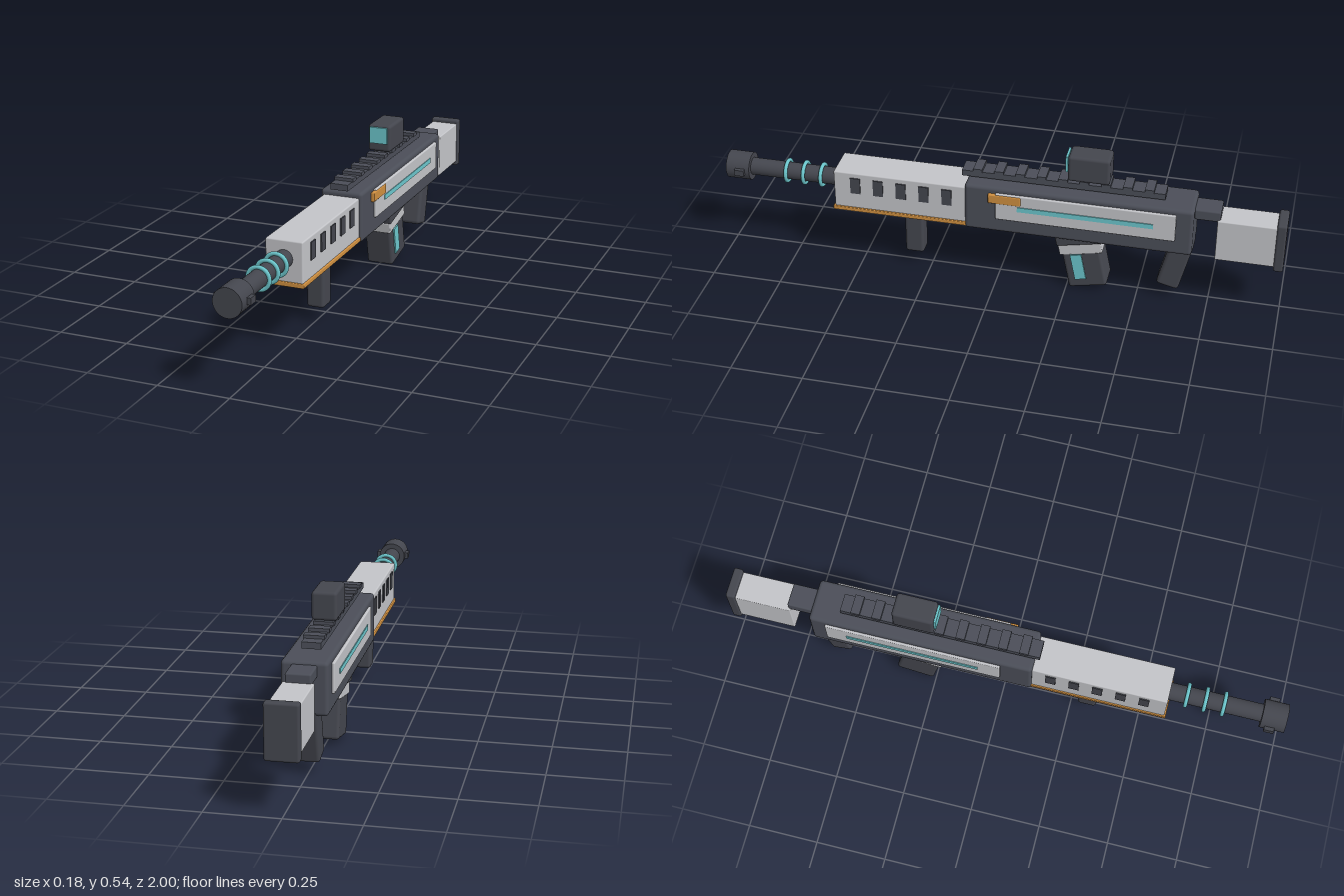
import * as THREE from 'three';
import { RoundedBoxGeometry } from 'three/addons/geometries/RoundedBoxGeometry.js';

const material = (name, color) => {
  const m = new THREE.MeshStandardMaterial({ color });
  m.name = name;
  return m;
};

export function createModel() {
  const charcoal = material('charcoal', 0x4b4e58);
  const gunmetal = material('gunmetal', 0x44464e);
  const lightGrey = material('lightGrey', 0xc3c4c8);
  const orange = material('orange', 0xcf8f40);
  const cyan = material('cyan', 0x6cc6cc);

  const model = new THREE.Group();
  model.name = 'toyBlaster';

  const add = (name, geometry, mat, x, y, z, tilt = 0, parent = model) => {
    const mesh = new THREE.Mesh(geometry, mat);
    mesh.name = name;
    mesh.position.set(x, y, z);
    mesh.rotation.x = tilt;
    parent.add(mesh);
    return mesh;
  };
  // Box given by its x, y and z ranges; r rounds the edges
  const box = (name, mat, [x0, x1], [y0, y1], [z0, z1], r = 0, parent = model) => {
    const size = [x1 - x0, y1 - y0, z1 - z0];
    const g = r ? new RoundedBoxGeometry(...size, 2, r) : new THREE.BoxGeometry(...size);
    return add(name, g, mat, (x0 + x1) / 2, (y0 + y1) / 2, (z0 + z1) / 2, 0, parent);
  };
  const half = (w) => [-w, w];

  // Barrel, glowing rings and muzzle
  const axisY = 0.318;
  const tube = (name, mat, r, z0, z1) =>
    add(name, new THREE.CylinderGeometry(r, r, z1 - z0, 32), mat, 0, axisY, (z0 + z1) / 2, Math.PI / 2);
  tube('barrel', gunmetal, 0.031, 0.57, 0.93);
  tube('muzzle', gunmetal, 0.05, 0.914, 1);
  box('muzzlePorts', gunmetal, half(0.062), [0.307, 0.33], [0.93, 0.965]);
  for (const z of [0.65, 0.715, 0.78]) {
    add('barrelRing', new THREE.TorusGeometry(0.038, 0.007, 10, 32), cyan, 0, axisY, z);
  }

  // Handguard with vents, lower strip and foregrip
  box('handguard', lightGrey, half(0.066), [0.236, 0.381], [0.1, 0.589], 0.005);
  box('handguardStrip', orange, half(0.071), [0.224, 0.24], [0.1, 0.595], 0.003);
  for (let i = 0; i < 5; i++) {
    const z = 0.178 + i * 0.083;
    box('vents', gunmetal, half(0.07), [0.3, 0.362], [z - 0.018, z + 0.018]);
  }
  box('foregrip', gunmetal, half(0.032), [0.055, 0.23], [0.276, 0.344], 0.011);

  // Receiver with side panels and stripes
  box('receiver', charcoal, half(0.077), [0.22, 0.4], [-0.687, 0.112], 0.013);
  for (const s of [-1, 1]) {
    const side = (a, b) => (s > 0 ? [a, b] : [-b, -a]);
    box('sidePanel', lightGrey, side(0.07, 0.086), [0.278, 0.382], [-0.628, 0], 0.004);
    box('sideStripe', cyan, side(0.082, 0.089), [0.321, 0.339], [-0.552, -0.078]);
  }
  box('chargingHandle', orange, [0.074, 0.089], [0.343, 0.378], [-0.09, 0.026], 0.004);
  box('triggerGuard', gunmetal, half(0.03), [0.2, 0.212], [-0.585, -0.46]);

  // Top rail and its teeth
  box('rail', charcoal, half(0.032), [0.408, 0.43], [-0.582, 0.13]);
  for (let i = 0; i < 9; i++) {
    const z = 0.073 - i * 0.075;
    box('railTooth', charcoal, half(0.035), [0.428, 0.441], [z - 0.016, z + 0.016]);
  }

  // Sight
  box('sight', gunmetal, half(0.043), [0.442, 0.54], [-0.39, -0.244], 0.011);
  box('sightLens', cyan, half(0.033), [0.474, 0.533], [-0.243, -0.235]);

  // Magazine, tilted with its top forward
  const magazine = new THREE.Group();
  magazine.name = 'magazine';
  magazine.position.set(0, 0.128, -0.306);
  magazine.rotation.x = 0.2;
  model.add(magazine);
  box('magazineBody', gunmetal, half(0.05), [-0.114, 0.1], [-0.069, 0.069], 0.011, magazine);
  box('magazineCollar', lightGrey, half(0.053), [0.026, 0.068], [-0.077, 0.077], 0.004, magazine);
  box('magazineWell', gunmetal, half(0.06), [0.068, 0.115], [-0.083, 0.08], 0.006, magazine);
  box('magazineWindow', cyan, [0.047, 0.055], [-0.078, 0.024], [0, 0.04], 0, magazine);

  // Rear grip, slanting forward and down
  add('rearGrip', new RoundedBoxGeometry(0.08, 0.2, 0.08, 2, 0.012), gunmetal, 0, 0.15, -0.629, -0.24);

  // Stock
  box('stockLink', charcoal, half(0.042), [0.35, 0.39], [-0.775, -0.68], 0.006);
  box('stock', lightGrey, half(0.051), [0.202, 0.36], [-0.975, -0.765], 0.004);
  box('buttPlate', gunmetal, half(0.056), [0.186, 0.374], [-1, -0.966], 0.008);

  return model;
}
